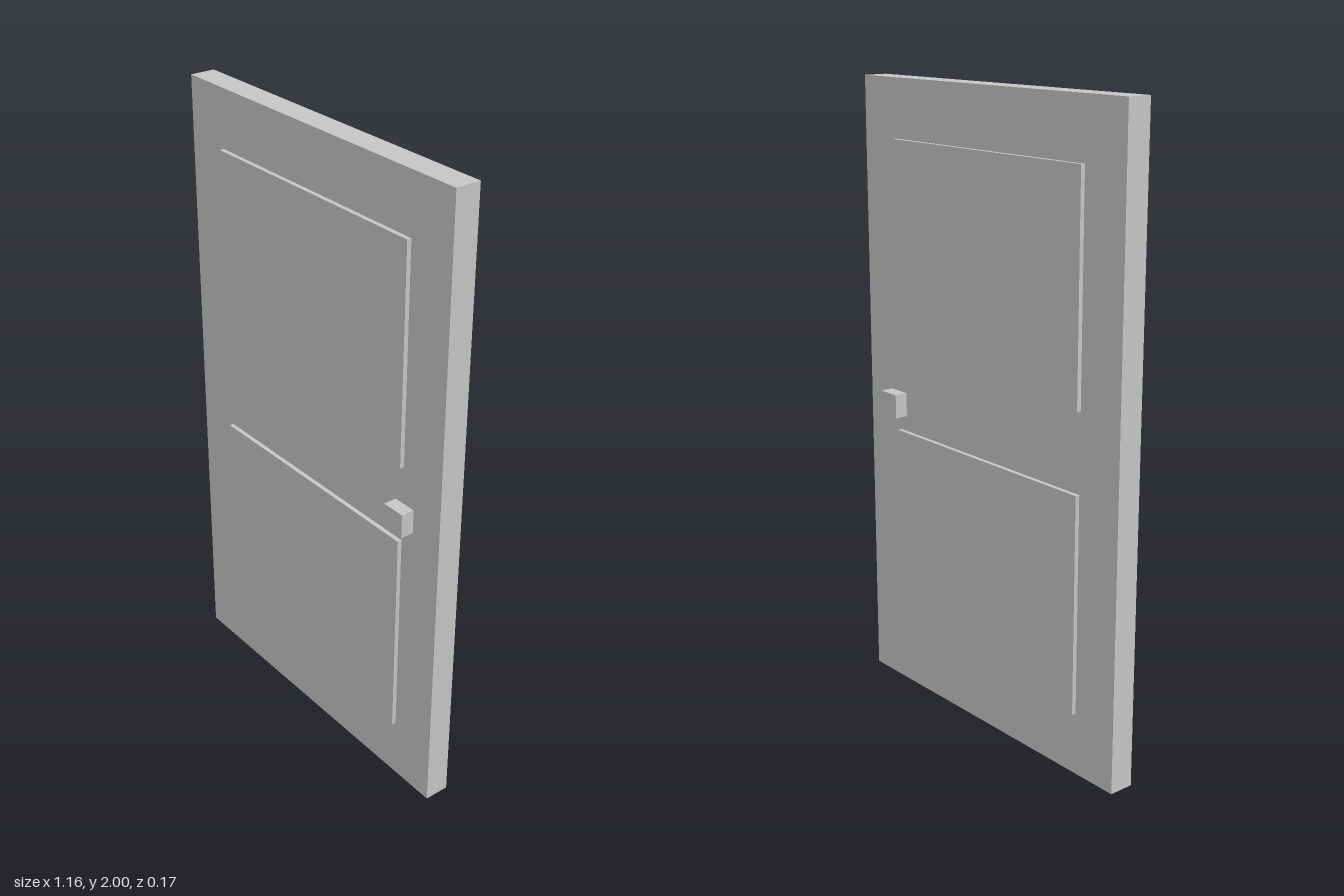
import * as THREE from 'three';

export function createModel() {
  const model = new THREE.Group();
  model.name = 'door';
  const grey = new THREE.MeshStandardMaterial({ color: 0xc5c5c5 });
  grey.name = 'lightGrey';

  // Box given by its lower and upper limits on each axis
  function addBox(name, [x0, x1], [y0, y1], [z0, z1]) {
    const mesh = new THREE.Mesh(new THREE.BoxGeometry(x1 - x0, y1 - y0, z1 - z0), grey);
    mesh.position.set((x0 + x1) / 2, (y0 + y1) / 2, (z0 + z1) / 2);
    mesh.name = name;
    model.add(mesh);
  }

  // Door slab
  const face = 0.04;
  addBox('slab', [-0.58, 0.58], [0, 2], [-face, face]);

  // Raised panels and square knob on both faces
  for (const [side, s] of [['front', 1], ['back', -1]]) {
    const depth = (d) => (s > 0 ? [face, d] : [-d, -face]);
    addBox(side + 'UpperPanel', [-0.422, 0.422], [1.131, 1.816], depth(0.054));
    addBox(side + 'LowerPanel', [-0.422, 0.422], [0.198, 0.884], depth(0.054));
    addBox(side + 'Knob', [0.392, 0.469], [0.934, 1.011], depth(0.083));
  }
  return model;
}
